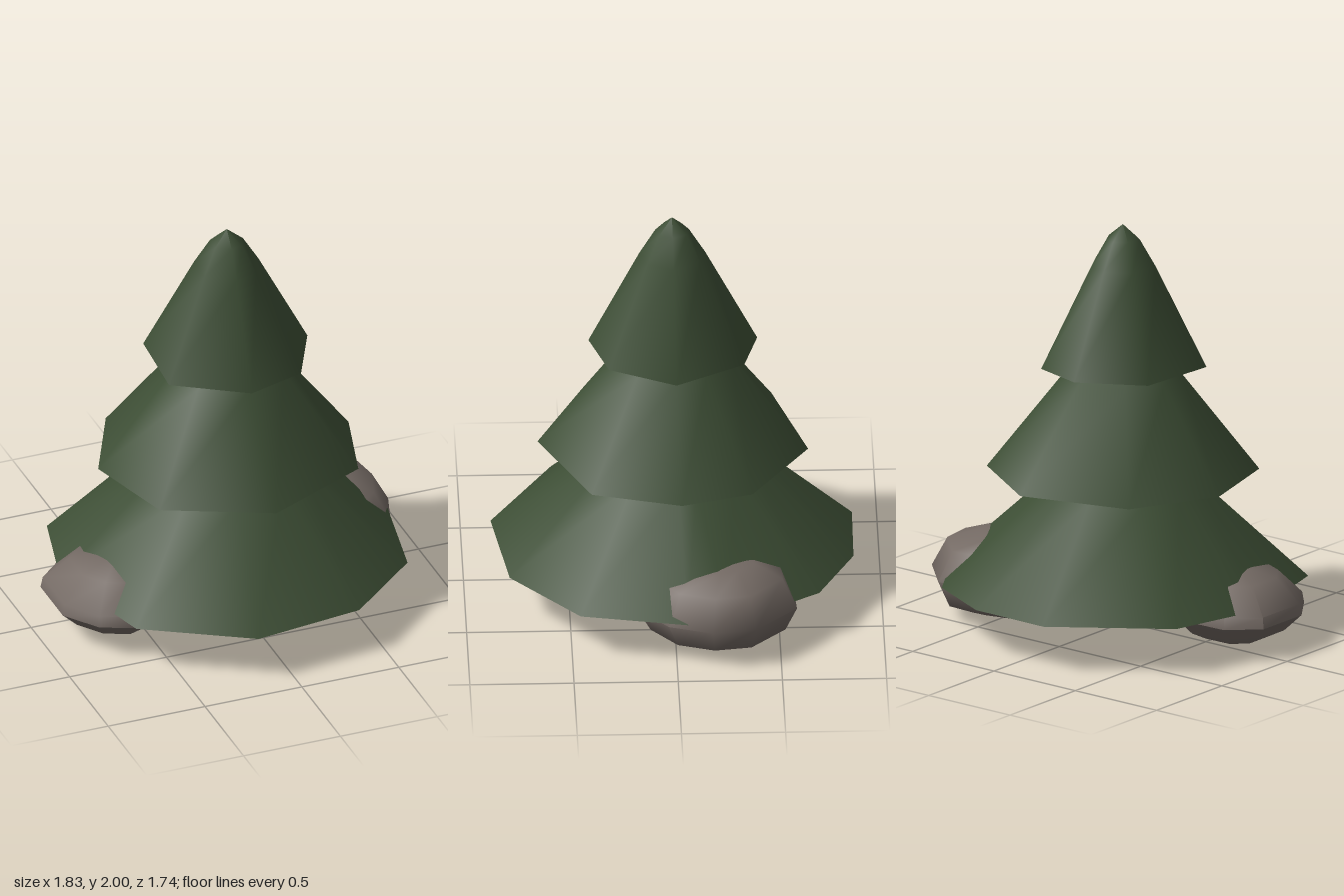
import * as THREE from 'three';
import { toCreasedNormals } from 'three/addons/utils/BufferGeometryUtils.js';

// Lofts an [x, z] outline (clockwise from above) through layers [y, scale], closing both ends.
function loft(outline, layers, [cx, cz], baseY, tipY, crease) {
  const n = outline.length;
  const pos = [];
  for (const [y, s] of layers) {
    for (const [x, z] of outline) pos.push(cx + (x - cx) * s, y, cz + (z - cz) * s);
  }
  const base = n * layers.length;
  pos.push(cx, baseY, cz, cx, tipY, cz);
  const index = [];
  const last = n * (layers.length - 1);
  for (let i = 0; i < n; i++) {
    const j = (i + 1) % n;
    for (let k = 0; k < last; k += n) {
      index.push(k + i, k + n + i, k + j, k + j, k + n + i, k + n + j);
    }
    index.push(base, i, j, base + 1, last + j, last + i);
  }
  const geo = new THREE.BufferGeometry();
  geo.setAttribute('position', new THREE.Float32BufferAttribute(pos, 3));
  geo.setIndex(index);
  return toCreasedNormals(geo, crease);
}

export function createModel() {
  const group = new THREE.Group();
  const material = (name, color) => {
    const m = new THREE.MeshStandardMaterial({ color });
    m.name = name;
    return m;
  };
  const green = material('needle green', 0x3c4d34);
  const stone = material('stone grey', 0x746a64);
  const bark = material('bark brown', 0x5f4034);

  const add = (name, geo, mat) => {
    const mesh = new THREE.Mesh(geo, mat);
    mesh.name = name;
    group.add(mesh);
    return mesh;
  };

  // Foliage: three irregular cones with rounded tips and flat undersides
  add('lowerFoliage', loft(
    [[-0.2, -0.87], [0.22, -0.865], [0.57, -0.69], [0.85, -0.25], [0.86, -0.05], [0.76, 0.46],
      [0.38, 0.79], [-0.17, 0.865], [-0.68, 0.56], [-0.84, -0.03], [-0.72, -0.5]],
    [[0.23, 1], [0.71, 0.42], [0.78, 0.32]], [0.01, 0], 0.23, 0.87, 1.0), green);
  add('middleFoliage', loft(
    [[0.12, -0.65], [0.55, -0.37], [0.65, -0.03], [0.53, 0.4], [0.01, 0.645], [-0.5, 0.41],
      [-0.63, -0.06], [-0.42, -0.49]],
    [[0.77, 1], [1.25, 0.43], [1.33, 0.31]], [0.01, 0], 0.77, 1.42, 1.0), green);
  add('topFoliage', loft(
    [[-0.02, -0.41], [0.24, -0.34], [0.43, -0.01], [0.27, 0.31], [-0.02, 0.4], [-0.36, 0.18],
      [-0.33, -0.23]],
    [[1.31, 1], [1.8, 0.39], [1.93, 0.2]], [0.01, 0], 1.31, 2, 1.0), green);

  // Trunk: short tapered stub
  const trunk = add('trunk',
    toCreasedNormals(new THREE.CylinderGeometry(0.085, 0.105, 0.3, 7), 0.5), bark);
  trunk.position.set(0.015, 0.2, 0);

  // Rocks half buried under the lowest branches
  add('leftRock', loft(
    [[0.53, -0.57], [0.68, -0.58], [0.88, -0.38], [0.91, -0.17], [0.84, 0.04], [0.66, 0.19],
      [0.38, 0.22], [0.14, 0.07], [0.1, -0.25], [0.26, -0.5]],
    [[0.03, 0.5], [0.08, 0.84], [0.21, 1], [0.355, 0.8], [0.41, 0.4]],
    [0.52, -0.24], 0, 0.43, 1.1), stone);
  add('rightRock', loft(
    [[-0.5, -0.22], [-0.33, -0.05], [-0.28, 0.2], [-0.45, 0.38], [-0.64, 0.45], [-0.8, 0.38],
      [-0.92, 0.21], [-0.92, -0.08], [-0.78, -0.21]],
    [[0.04, 0.5], [0.08, 0.74], [0.165, 1], [0.22, 0.97], [0.34, 0.62]],
    [-0.6, 0.1], 0.03, 0.38, 0.8), stone);

  return group;
}
